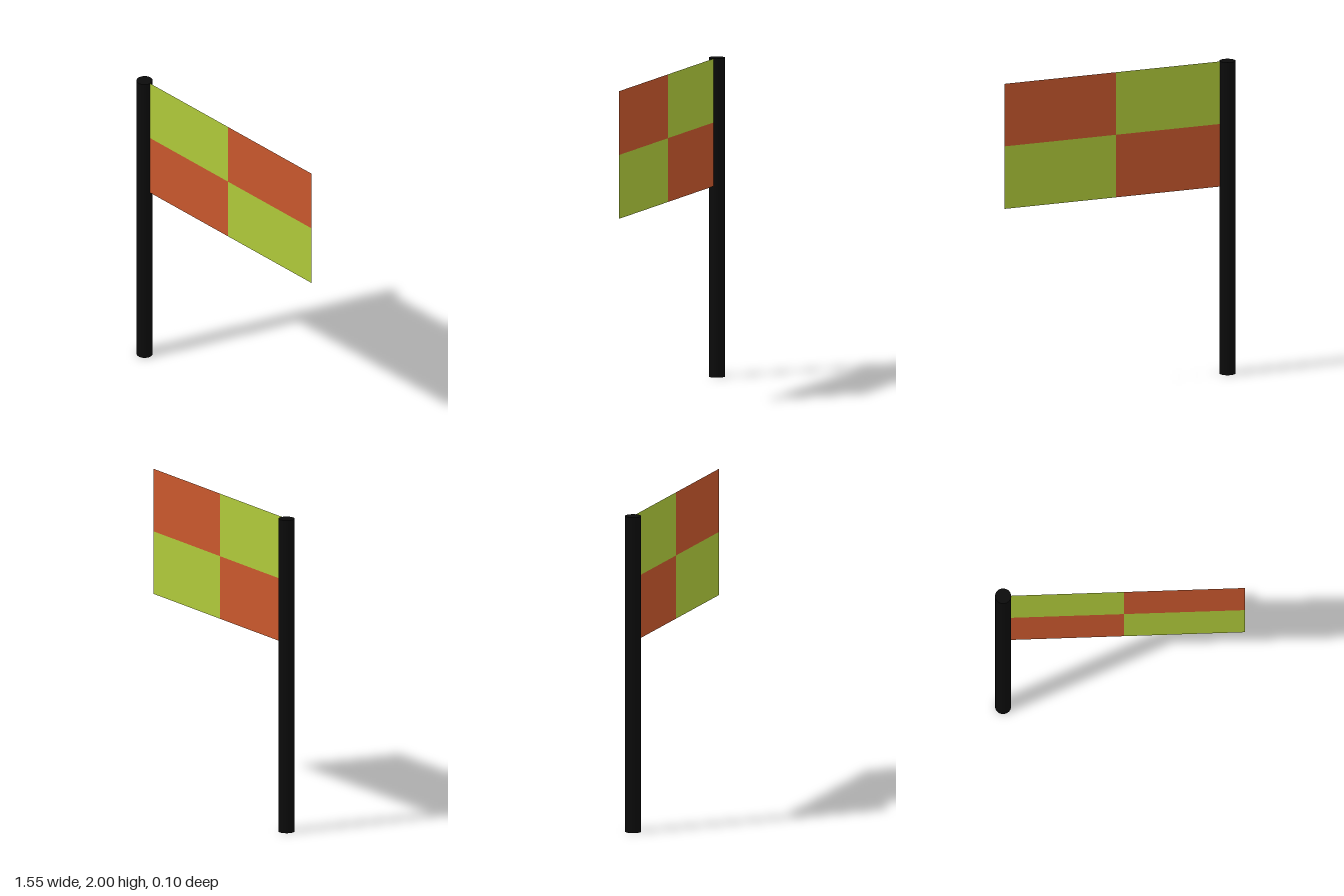
import * as THREE from 'three';

export function createModel() {
  const group = new THREE.Group();
  const material = (name, color, side = THREE.FrontSide) => {
    const m = new THREE.MeshStandardMaterial({ color, side });
    m.name = name;
    return m;
  };
  const black = material('black', 0x0b0b0b);
  const lime = material('lime', 0xb0ca3a, THREE.DoubleSide);
  const orange = material('orange', 0xc9582d, THREE.DoubleSide);

  const poleX = -0.725, height = 2, panelW = 0.75, panelH = 0.4;

  // Round pole
  const pole = new THREE.Mesh(new THREE.CylinderGeometry(0.05, 0.05, height, 32), black);
  pole.name = 'pole';
  pole.position.set(poleX, height / 2, 0);
  group.add(pole);

  // Flag of four flat panels, starting at the pole's axis
  const flag = new THREE.Group();
  flag.name = 'flag';
  const panel = new THREE.PlaneGeometry(panelW, panelH);
  for (let row = 0; row < 2; row++) {
    for (let col = 0; col < 2; col++) {
      const mesh = new THREE.Mesh(panel, row === col ? lime : orange);
      mesh.name = `${row ? 'lower' : 'upper'}${col ? 'Outer' : 'Inner'}Panel`;
      mesh.position.set(poleX + (col + 0.5) * panelW, height - (row + 0.5) * panelH, 0);
      flag.add(mesh);
    }
  }
  group.add(flag);
  return group;
}
